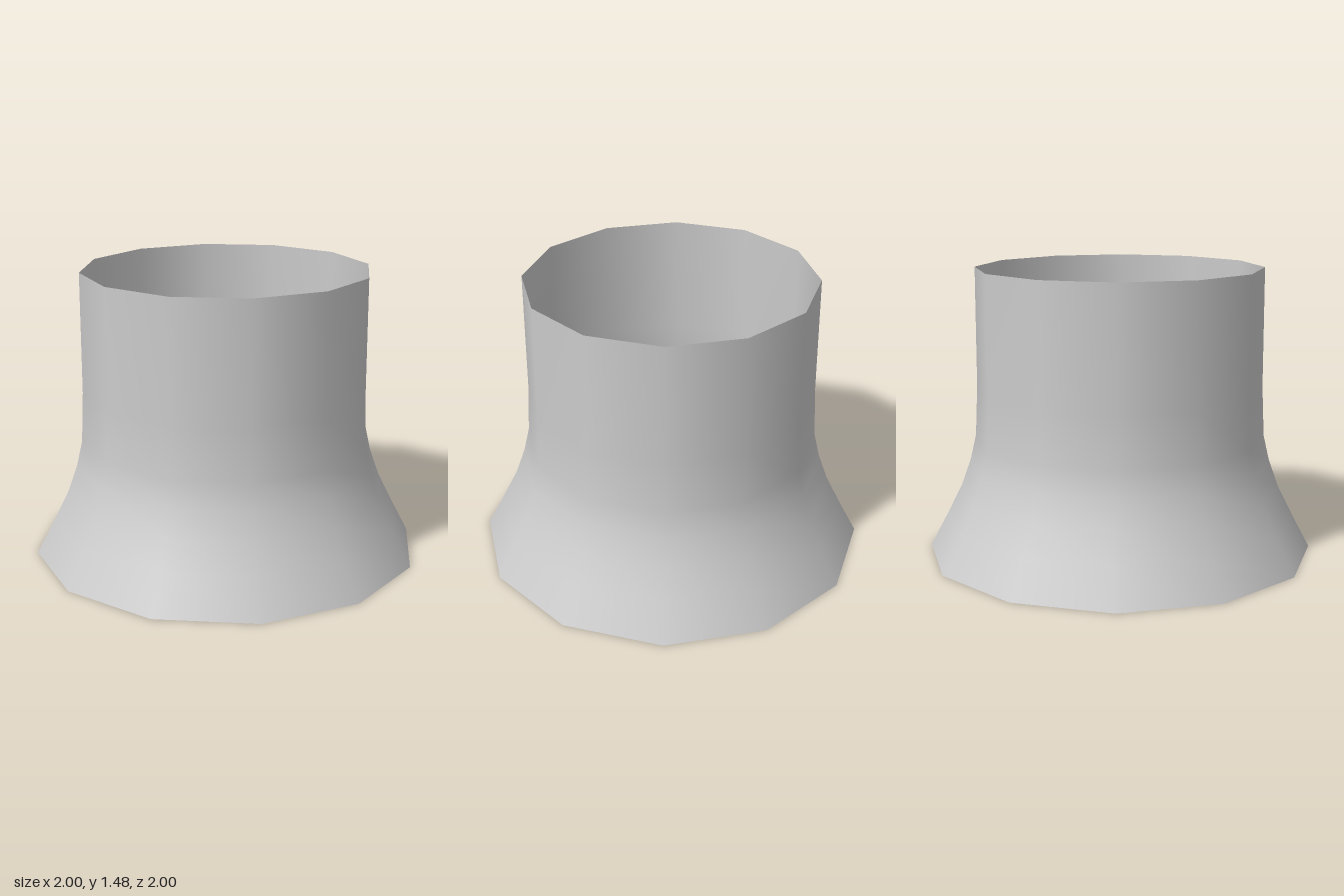
import * as THREE from 'three';

const SIDES = 12;
const material = new THREE.MeshStandardMaterial({ color: 0xcccccc, side: THREE.DoubleSide });

// Open, smooth-shaded shell revolved from [radius, height] pairs
function shell(name, profile) {
  const points = profile.map(([r, y]) => new THREE.Vector2(r, y));
  const mesh = new THREE.Mesh(new THREE.LatheGeometry(points, SIDES), material);
  mesh.name = name;
  return mesh;
}

export function createModel() {
  const group = new THREE.Group();
  group.name = 'flaredCollar';

  // Outer wall: wide skirt curving up into a straight neck
  group.add(shell('flaredOuterWall', [
    [1, 0], [0.905, 0.18], [0.83, 0.33], [0.78, 0.47],
    [0.75, 0.6], [0.738, 0.86], [0.737, 1.475],
  ]));

  // Inner funnel: branches off below the neck and narrows to the base
  group.add(shell('innerFunnel', [
    [0.625, 0], [0.672, 0.18], [0.71, 0.33], [0.735, 0.47], [0.75, 0.6],
  ]));

  return group;
}
